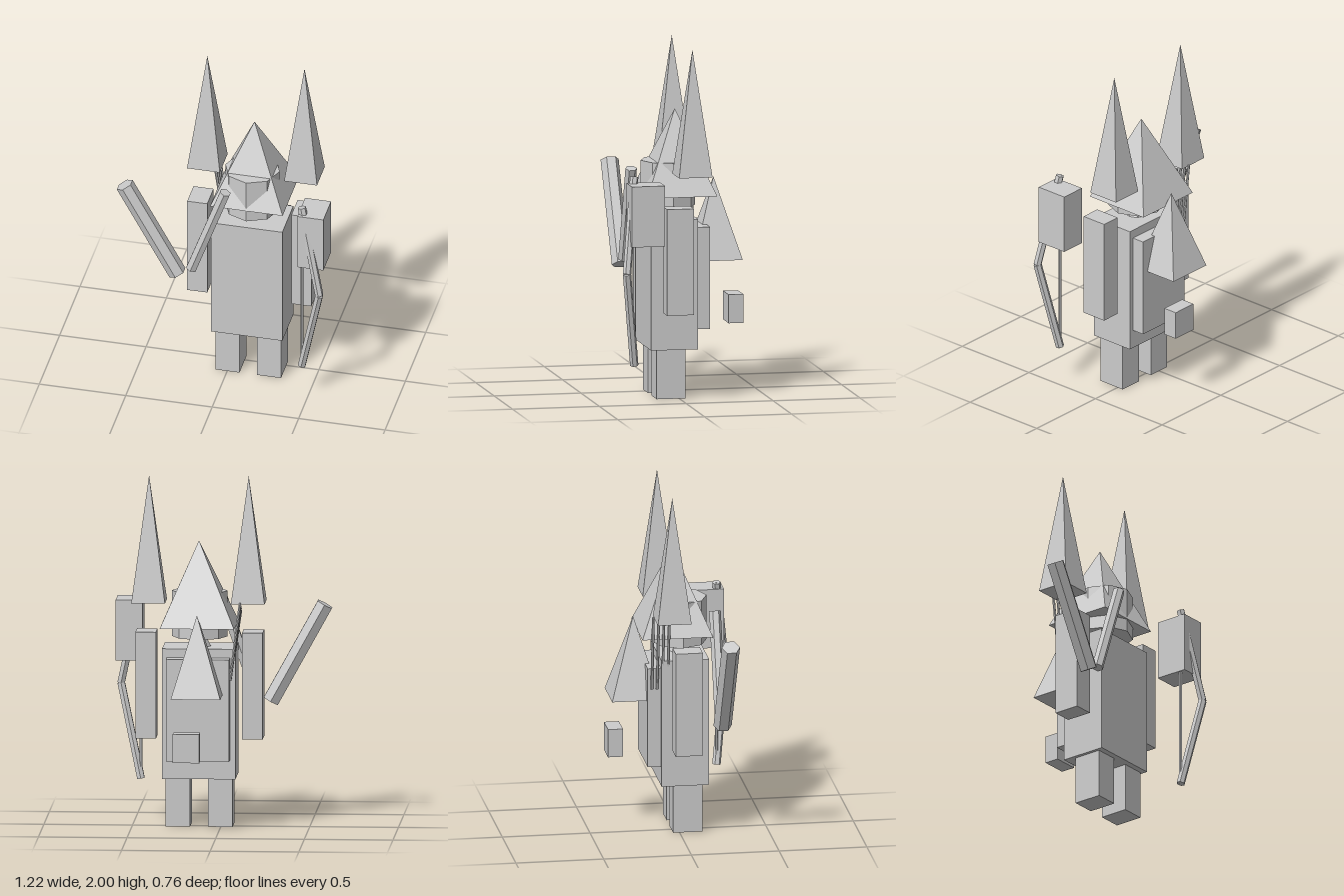
import * as THREE from 'three';

export function createModel() {
  const model = new THREE.Group();
  const stone = new THREE.MeshStandardMaterial({ color: 0xcccccc, flatShading: true });
  stone.name = 'plain grey';

  function add(name, geometry, x, y, z) {
    const mesh = new THREE.Mesh(geometry, stone);
    mesh.name = name;
    mesh.position.set(x, y, z);
    model.add(mesh);
    return mesh;
  }

  // Box from its lower and upper limits on each axis
  function block(name, [x0, x1], [y0, y1], [z0, z1]) {
    return add(name, new THREE.BoxGeometry(x1 - x0, y1 - y0, z1 - z0),
      (x0 + x1) / 2, (y0 + y1) / 2, (z0 + z1) / 2);
  }

  // Square-based pyramid aligned with the axes
  function pyramid(name, x, z, halfX, halfZ, y0, y1) {
    const g = new THREE.ConeGeometry(Math.SQRT2, y1 - y0, 4);
    g.rotateY(Math.PI / 4).scale(halfX, 1, halfZ);
    return add(name, g, x, (y0 + y1) / 2, z);
  }

  // Straight prism between two points
  function rod(name, from, to, radius, sides = 6) {
    const a = new THREE.Vector3(...from), b = new THREE.Vector3(...to);
    const d = b.clone().sub(a);
    const mid = a.clone().add(b).multiplyScalar(0.5);
    const mesh = add(name, new THREE.CylinderGeometry(radius, radius, d.length(), sides), mid.x, mid.y, mid.z);
    mesh.quaternion.setFromUnitVectors(new THREE.Vector3(0, 1, 0), d.normalize());
    return mesh;
  }

  const cx = 0.122; // body centre line

  // Body
  block('torso', [-0.087, 0.327], [0.28, 1.02], [-0.105, 0.165]);
  block('backpack', [-0.056, 0.3], [0.39, 0.97], [-0.18, -0.1]);
  add('neck', new THREE.CylinderGeometry(0.03, 0.065, 0.07, 8), cx, 1.05, 0.026);
  add('head', new THREE.CylinderGeometry(0.157, 0.157, 0.26, 8), cx, 1.205, 0.026);
  pyramid('pointedHat', 0.124, -0.013, 0.21, 0.201, 1.148, 1.625);

  // Limbs and shoulder spikes on both sides
  for (const [side, s] of [['right', -1], ['left', 1]]) {
    const leg = cx + s * 0.12, arm = cx + s * 0.301;
    block(side + 'Leg', [leg - 0.069, leg + 0.069], [0, 0.28], [-0.037, 0.13]);
    block(side + 'Arm', [arm - 0.058, arm + 0.058], [0.5, 1.105], [-0.048, 0.106]);
    pyramid(side + 'Spike', cx + s * 0.281, -0.056, 0.095, 0.096, 1.283, 2);
  }

  // Pieces behind the back
  pyramid('backPyramid', cx, -0.236, 0.14, 0.14, 0.77, 1.23);
  block('pouch', [0.1, 0.25], [0.41, 0.573], [-0.382, -0.297]);

  // Row of arrows leaning out of the backpack
  for (let i = 0; i < 4; i++) {
    const z = -0.157 + i * 0.03, top = 1.29 - i * 0.017;
    rod('arrow', [-0.06, 0.85, z], [-0.116, top, z], 0.008);
  }

  // Right-hand clubs
  rod('largeClub', [-0.268, 0.684, 0.214], [-0.573, 1.236, 0.214], 0.052);
  rod('smallClub', [-0.188, 0.726, 0.213], [0.008, 1.273, 0.213], 0.033);

  // Left hand block and bow
  block('leftHandBlock', [0.453, 0.604], [0.915, 1.26], [0.143, 0.334]);
  const tip = [0.47, 1.297, 0.293], grip = [0.586, 0.76, 0.359], foot = [0.47, 0.223, 0.293];
  rod('upperBowLimb', grip, tip, 0.024);
  rod('lowerBowLimb', foot, grip, 0.024);
  rod('bowString', foot, tip, 0.009);

  return model;
}
